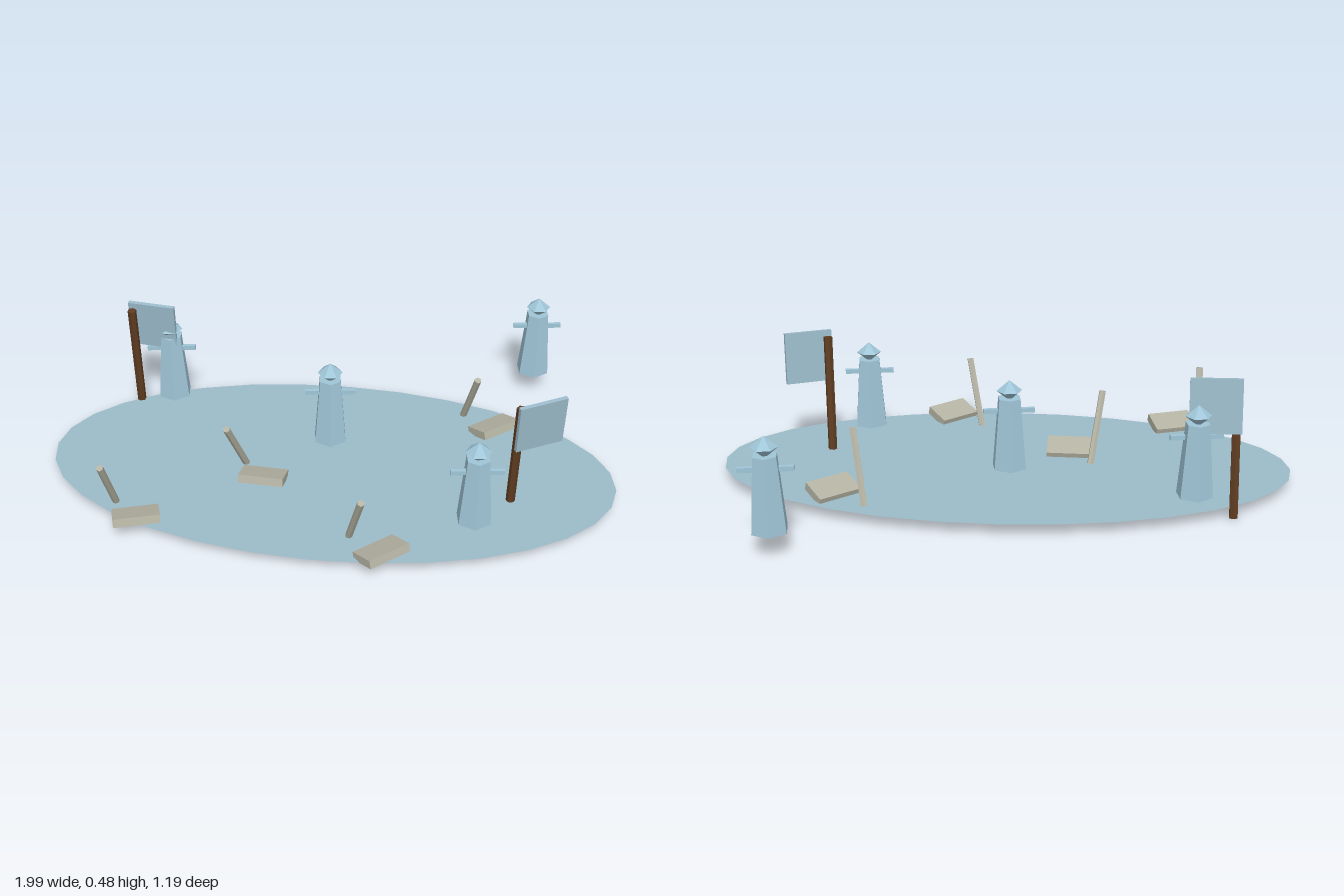
import * as THREE from 'three';

const mat = (name, color, extra = {}) => {
  const m = new THREE.MeshStandardMaterial({ color, flatShading: true, ...extra });
  m.name = name;
  return m;
};

function part(parent, name, geometry, material, x = 0, y = 0, z = 0) {
  const mesh = new THREE.Mesh(geometry, material);
  mesh.name = name;
  mesh.position.set(x, y, z);
  parent.add(mesh);
  return mesh;
}

function group(parent, name, x, y, z) {
  const g = new THREE.Group();
  g.name = name;
  g.position.set(x, y, z);
  parent.add(g);
  return g;
}

export function createModel() {
  const root = new THREE.Group();
  root.name = 'hauntedPond';
  const paleBlue = mat('pale blue', 0xa0c6d8);
  const mistBlue = mat('mist blue', 0x9cbccb);
  const water = mat('water blue', 0x9cbbc9, { side: THREE.DoubleSide });
  const stone = mat('weathered grey', 0xb4b3a3);
  const wood = mat('dark wood', 0x5f3d22);

  // Flat elliptical pool, turned slightly
  const pool = part(root, 'pool', new THREE.CircleGeometry(1, 32).rotateX(-Math.PI / 2), water, 0, 0.04, 0.02);
  pool.scale.set(1.01, 1, 0.51);
  pool.rotation.y = -0.16;

  // Hovering hooded figures: tapered robe, faceted head, outstretched arms
  const robe = new THREE.CylinderGeometry(0.042, 0.063, 0.255, 6);
  const head = new THREE.SphereGeometry(0.044, 6, 2).scale(1, 0.84, 1);
  const arms = new THREE.BoxGeometry(0.178, 0.016, 0.014);
  for (const [x, z] of [[0, -0.103], [-0.585, -0.408], [0.473, 0.372], [0.8, -0.536]]) {
    const figure = group(root, 'figure', x, 0, z);
    part(figure, 'robe', robe, paleBlue, 0, 0.2075, 0);
    part(figure, 'head', head, paleBlue, 0, 0.361, 0);
    part(figure, 'arms', arms, paleBlue, 0, 0.285, 0.008);
  }

  // Leaning signs: board in front of one post and behind the other
  const post = new THREE.CylinderGeometry(0.016, 0.016, 0.46, 6);
  const board = new THREE.BoxGeometry(0.172, 0.185, 0.015);
  for (const [x, z, yaw, side] of [[0.618, 0.222, 0.33, 1], [-0.717, -0.427, -0.23, -1]]) {
    const sign = group(root, 'sign', x, 0, z);
    sign.rotation.set(0.1, yaw, 0);
    part(sign, 'post', post, wood, 0, 0.229, 0);
    part(sign, 'board', board, mistBlue, 0.068, 0.388, side * 0.022);
  }

  // Broken remains: a leaning stake beside a tilted slab
  const stake = new THREE.CylinderGeometry(0.0125, 0.0125, 0.283, 6);
  const slab = new THREE.BoxGeometry(0.16, 0.03, 0.1);
  const remains = [
    [-0.758, 0.257, 0.08, 0.165],
    [-0.33, 0.046, 0.22, -0.2],
    [0.52, -0.234, -0.11, 0.54],
    [0.067, 0.458, -0.13, 0.57],
  ];
  for (const [x, z, roll, yaw] of remains) {
    const ruin = group(root, 'remains', x, 0, z);
    part(ruin, 'stake', stake, stone, 0, 0.147, 0).rotation.set(0.46, 0, roll);
    part(ruin, 'slab', slab, stone, 0.089, 0.058, 0.05).rotation.set(-0.3, yaw, 0, 'YXZ');
  }

  return root;
}
